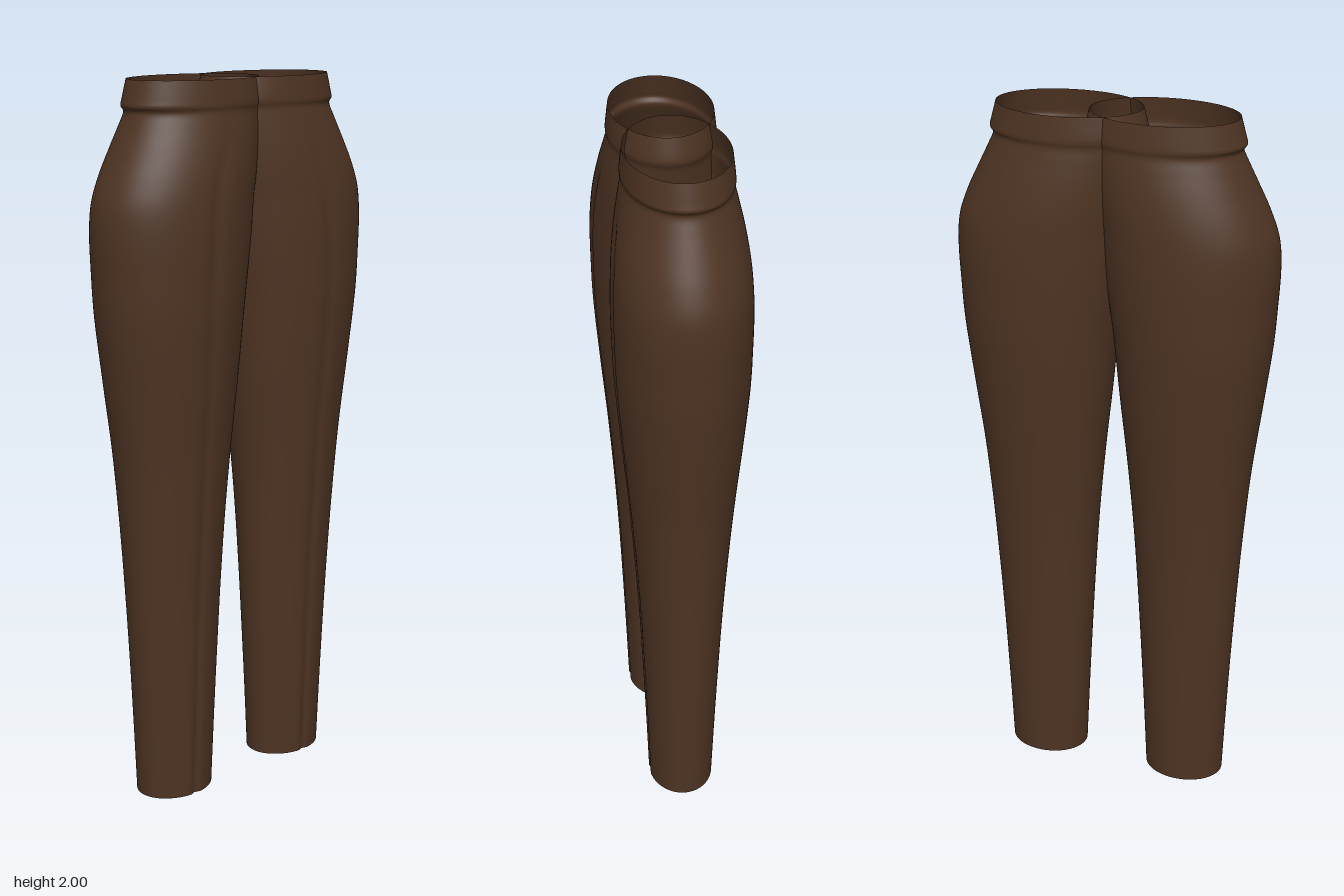
import * as THREE from 'three';

const cloth = new THREE.MeshStandardMaterial({ color: 0x4e3423, side: THREE.DoubleSide });
cloth.name = 'brown cloth';

// Leg cross-sections from hem to waist: height, inner x, outer x, half depth
const SECTIONS = [
  [0, 0.101, 0.333, 0.094], [0.2, 0.092, 0.341, 0.101], [0.4, 0.082, 0.350, 0.109],
  [0.6, 0.071, 0.361, 0.118], [0.8, 0.058, 0.374, 0.130], [1.0, 0.040, 0.391, 0.145],
  [1.2, 0.018, 0.416, 0.163], [1.38, 0, 0.438, 0.177], [1.5, -0.016, 0.446, 0.181],
  [1.6, -0.029, 0.450, 0.182], [1.68, -0.038, 0.444, 0.179], [1.75, -0.050, 0.420, 0.173],
  [1.82, -0.061, 0.386, 0.162], [1.88, -0.071, 0.356, 0.149], [1.915, -0.077, 0.341, 0.141],
  [1.932, -0.084, 0.350, 0.143], [1.95, -0.083, 0.346, 0.142], [2.0, -0.070, 0.332, 0.136],
];
const AROUND = 96, UP = 102;

const spline = points => new THREE.CatmullRomCurve3(points, false, 'catmullrom', 0.5);
const innerEdge = spline(SECTIONS.map(([y, a]) => new THREE.Vector3(a, y, 0)));
const outerEdge = spline(SECTIONS.map(([y, , b, d]) => new THREE.Vector3(b, y, d)));

// One point on an elliptical section, with a pressed crease down the front
function legPoint(side, t, angle) {
  const a = innerEdge.getPoint(t), b = outerEdge.getPoint(t);
  const radius = (b.x - a.x) / 2;
  const c = Math.cos(angle), s = Math.sin(angle);
  const fade = 1 - THREE.MathUtils.smoothstep(a.y, 1.75, 1.91);
  const crease = s > 0 ? 0.007 * fade * Math.exp(-((c / 0.09) ** 2)) : 0;
  return [side * (a.x + b.x) / 2 + c * radius, a.y, s * b.z - crease];
}

// Open tube skinned over the sections
function legGeometry(side) {
  const positions = [], index = [];
  for (let j = 0; j <= UP; j++) {
    for (let i = 0; i < AROUND; i++) {
      positions.push(...legPoint(side, j / UP, (i / AROUND) * Math.PI * 2));
      if (j === UP) continue;
      const p = j * AROUND + i, q = j * AROUND + (i + 1) % AROUND;
      index.push(p, p + AROUND, q, q, p + AROUND, q + AROUND);
    }
  }
  return build(positions, index);
}

// Flat disc closing the hem
function hemGeometry(side) {
  const positions = [side * 0.217, 0, 0], index = [];
  for (let i = 0; i < AROUND; i++) {
    positions.push(...legPoint(side, 0, (i / AROUND) * Math.PI * 2));
    index.push(0, 1 + i, 1 + (i + 1) % AROUND);
  }
  return build(positions, index);
}

function build(positions, index) {
  const geometry = new THREE.BufferGeometry();
  geometry.setAttribute('position', new THREE.Float32BufferAttribute(positions, 3));
  geometry.setIndex(index);
  geometry.computeVertexNormals();
  return geometry;
}

export function createModel() {
  const trousers = new THREE.Group();
  trousers.name = 'trousers';
  for (const [side, label] of [[1, 'left'], [-1, 'right']]) {
    const leg = new THREE.Mesh(legGeometry(side), cloth);
    leg.name = label + 'Leg';
    const hem = new THREE.Mesh(hemGeometry(side), cloth);
    hem.name = label + 'HemCap';
    trousers.add(leg, hem);
  }
  return trousers;
}
